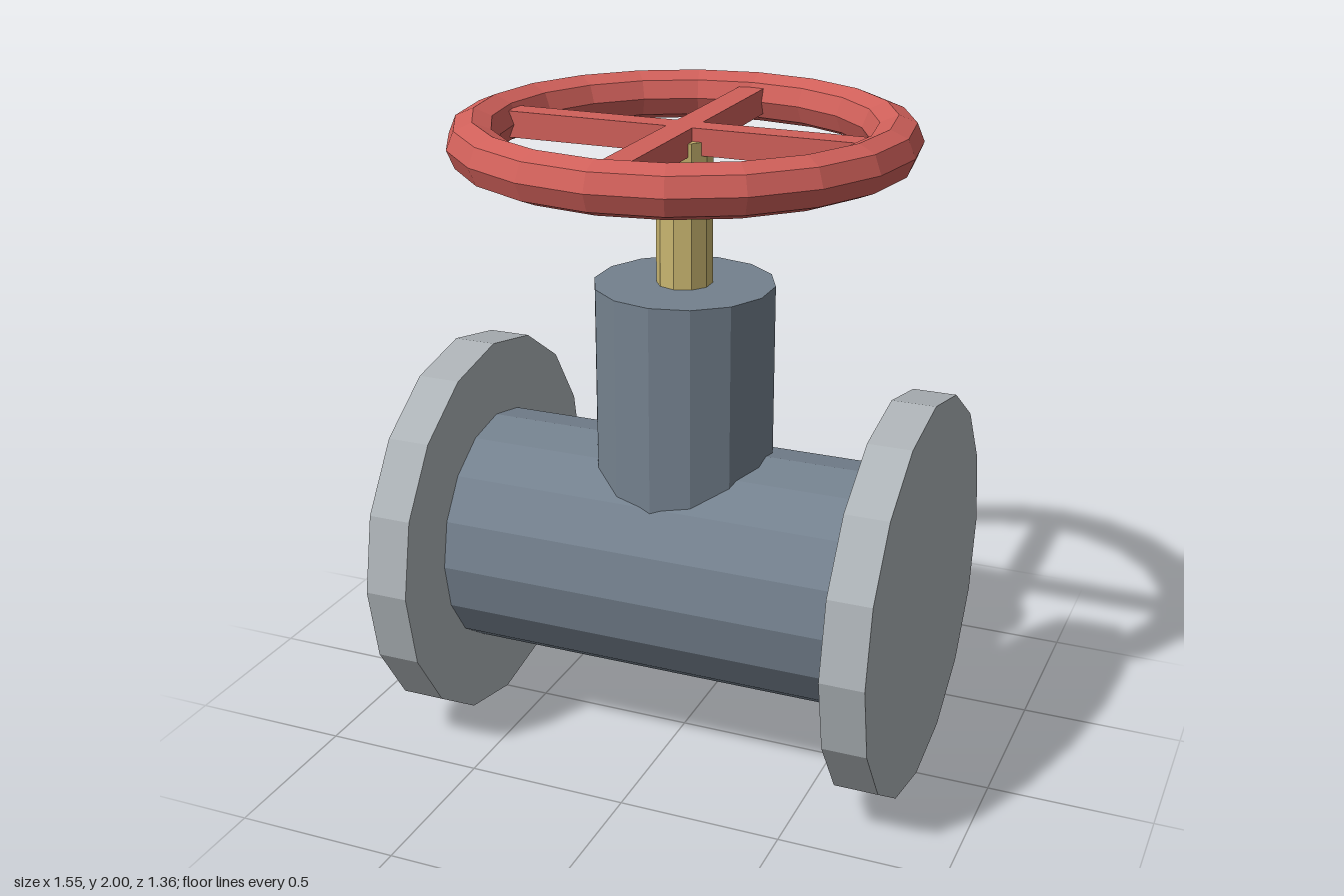
import * as THREE from 'three';

const material = (name, color) => {
  const m = new THREE.MeshStandardMaterial({ color, flatShading: true });
  m.name = name;
  return m;
};

export function createModel() {
  const model = new THREE.Group();
  model.name = 'gateValve';

  const steel = material('blueGreySteel', 0x74818e);
  const silver = material('paleFlangeMetal', 0xadb3b7);
  const brass = material('brass', 0xc9b670);
  const red = material('redPaint', 0xd0605a);

  const add = (name, geometry, mat, x = 0, y = 0, z = 0) => {
    const mesh = new THREE.Mesh(geometry, mat);
    mesh.name = name;
    mesh.position.set(x, y, z);
    model.add(mesh);
    return mesh;
  };

  // upright cylinder given by its bottom and top heights
  const column = (name, radius, bottom, top, sides, mat) =>
    add(name, new THREE.CylinderGeometry(radius, radius, top - bottom, sides), mat, 0, (bottom + top) / 2, 0);

  // cylinder lying along x
  const axial = (radius, length) =>
    new THREE.CylinderGeometry(radius, radius, length, 16).rotateZ(Math.PI / 2);

  // pipe body with a flange at each end
  const axisY = 0.61;
  add('pipeBody', axial(0.371, 1.3), steel, 0, axisY);
  for (const side of [-1, 1]) {
    add(side > 0 ? 'leftFlange' : 'rightFlange', axial(0.607, 0.132), silver, side * 0.709, axisY);
  }

  // bonnet and stem
  column('bonnet', 0.27, 0.7, 1.495, 14, steel);
  column('stem', 0.083, 1.45, 1.925, 10, brass);

  // handwheel: rim and two crossing spokes
  const wheelY = 1.925;
  add('wheelRim', new THREE.TorusGeometry(0.605, 0.075, 8, 20).rotateX(Math.PI / 2), red, 0, wheelY);
  add('spokeAcross', new THREE.BoxGeometry(1.18, 0.078, 0.08), red, 0, wheelY);
  add('spokeAlong', new THREE.BoxGeometry(0.08, 0.078, 1.18), red, 0, wheelY);

  return model;
}
